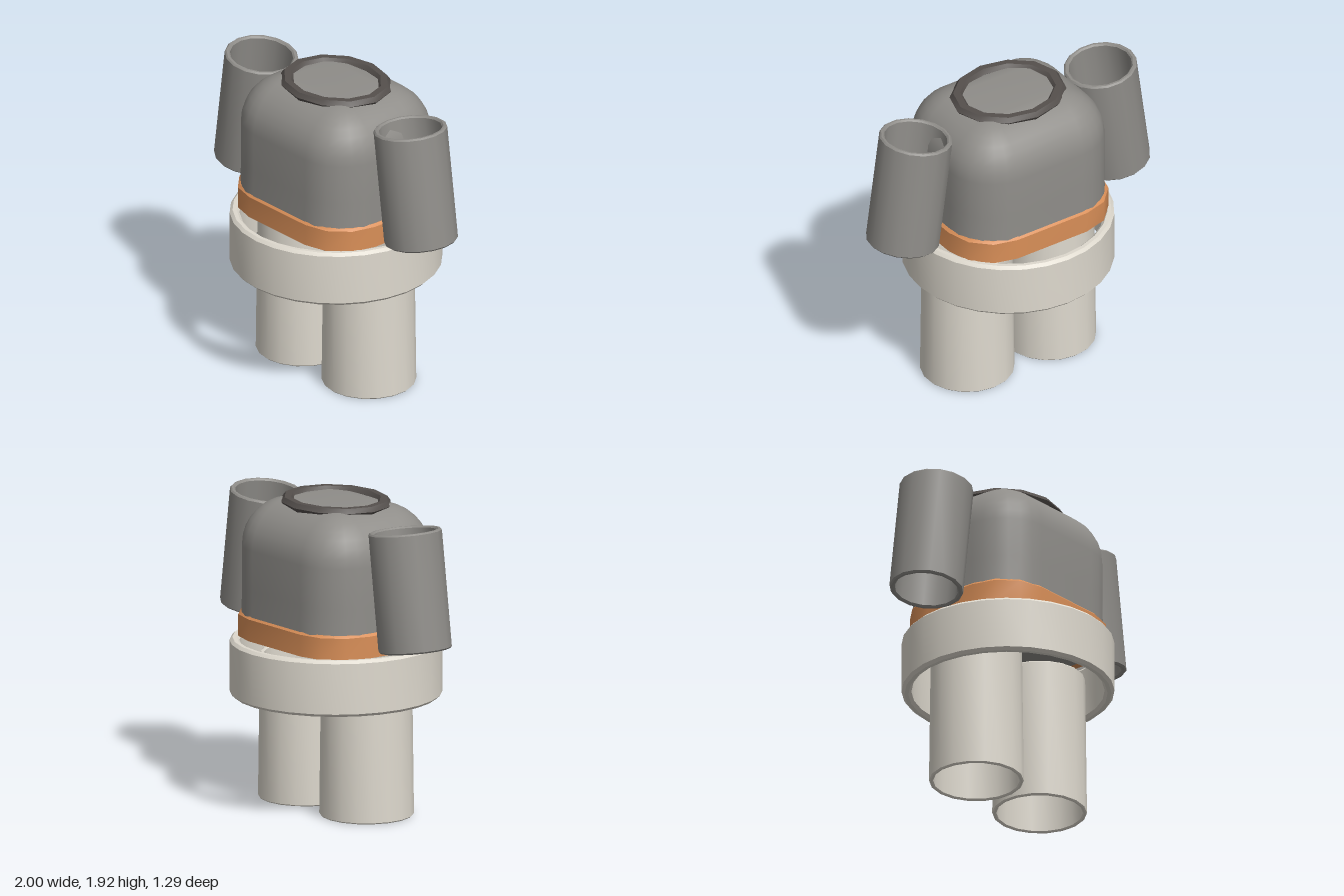
import * as THREE from 'three';
import { toCreasedNormals } from 'three/addons/utils/BufferGeometryUtils.js';

const paint = (color) => new THREE.MeshStandardMaterial({ color, side: THREE.DoubleSide });
const grey = paint(0x8f8d89);
const dark = paint(0x55504d);
const orange = paint(0xd98f58);
const cream = paint(0xded9ce);

function part(name, geometry, material, parent) {
  const mesh = new THREE.Mesh(geometry, material);
  mesh.name = name;
  parent.add(mesh);
  return mesh;
}

// Open pipe with a wall and softened rims, standing from y = 0
function pipe(rBottom, rTop, height, wall, sides) {
  const b = wall * 0.3;
  const profile = [
    [rBottom - wall, b], [rBottom - wall + b, 0], [rBottom - b, 0], [rBottom, b],
    [rTop, height - b], [rTop - b, height], [rTop - wall + b, height],
    [rTop - wall, height - b], [rBottom - wall, b],
  ].map(([x, y]) => new THREE.Vector2(x, y));
  return toCreasedNormals(new THREE.LatheGeometry(profile, sides), 0.7);
}

// Stack of rounded rectangles; each layer is [inset, y]
function roundedStack(halfW, halfD, radius, segments, layers, capped) {
  const positions = [];
  const index = [];
  const count = 4 * (segments + 1);
  for (const [inset, y] of layers) {
    const r = Math.max(radius - inset, 0.002);
    for (let c = 0; c < 4; c++) {
      const sx = c === 0 || c === 3 ? 1 : -1;
      const sz = c < 2 ? 1 : -1;
      for (let s = 0; s <= segments; s++) {
        const a = (c + s / segments) * Math.PI / 2;
        positions.push(
          sx * (halfW - inset - r) + r * Math.cos(a), y,
          sz * (halfD - inset - r) + r * Math.sin(a));
      }
    }
  }
  for (let l = 0; l < layers.length - 1; l++) {
    for (let i = 0; i < count; i++) {
      const a = l * count + i;
      const b = l * count + (i + 1) % count;
      index.push(a, a + count, b, b, a + count, b + count);
    }
  }
  if (capped) {
    const top = (layers.length - 1) * count;
    for (let i = 1; i < count - 1; i++) {
      index.push(0, i, i + 1, top, top + i + 1, top + i);
    }
  }
  const geometry = new THREE.BufferGeometry();
  geometry.setAttribute('position', new THREE.Float32BufferAttribute(positions, 3));
  geometry.setIndex(index);
  return toCreasedNormals(geometry, 0.65);
}

export function createModel() {
  const group = new THREE.Group();

  // Torso: straight walls under a domed shoulder
  const layers = [[-0.005, 1.05], [0, 1.35]];
  for (let i = 0; i <= 8; i++) {
    const t = i / 8 * Math.PI / 2;
    layers.push([0.3 * (1 - Math.cos(t)), 1.6 + 0.3 * Math.sin(t)]);
  }
  part('torso', roundedStack(0.535, 0.46, 0.3, 6, layers, true), grey, group);

  // Waistband: chamfered band around the bottom of the torso
  const band = [[0.05, 1.04], [0, 1.04], [0, 1.175], [0.015, 1.19], [0.05, 1.19]];
  part('waistband', roundedStack(0.555, 0.475, 0.3, 3, band, false), orange, group);

  // Collar: faceted oval ring on top
  const collarGeometry = new THREE.TorusGeometry(0.325, 0.045, 6, 12);
  collarGeometry.rotateX(Math.PI / 2);
  collarGeometry.scale(1, 0.72, 0.86);
  const collar = part('collar', toCreasedNormals(collarGeometry, 0.6), dark, group);
  collar.position.y = 1.89;

  // Hip ring
  const hip = part('hipRing', pipe(0.645, 0.645, 0.35, 0.06, 28), cream, group);
  hip.position.y = 0.695;

  // Sleeves and trouser legs, mirrored
  for (const [side, sign] of [['left', 1], ['right', -1]]) {
    const sleeveGeometry = pipe(0.225, 0.225, 0.732, 0.032, 16);
    sleeveGeometry.translate(0, -0.366, 0);
    const sleeve = part(side + 'Sleeve', sleeveGeometry, grey, group);
    sleeve.position.set(sign * 0.727, 1.47, 0);
    sleeve.rotation.z = sign * 0.137;

    const leg = part(side + 'Leg', pipe(0.287, 0.276, 0.9, 0.025, 18), cream, group);
    leg.position.x = sign * 0.3;
  }

  return group;
}
